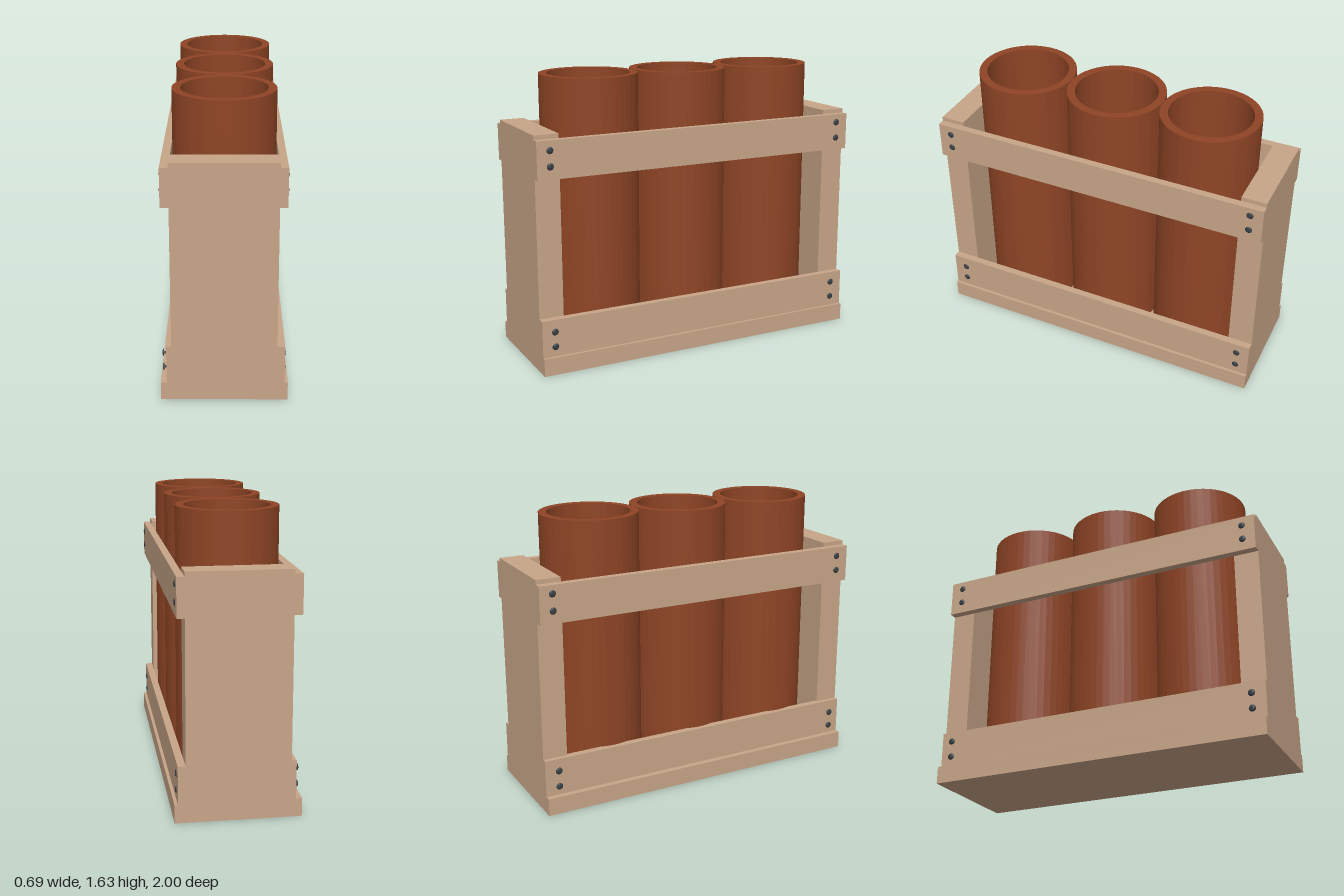
import * as THREE from 'three';

export function createModel() {
  const model = new THREE.Group();
  model.name = 'tubeRack';

  const wood = new THREE.MeshStandardMaterial({ color: 0xc8a588 });
  wood.name = 'pale wood';
  const clay = new THREE.MeshStandardMaterial({ color: 0x8f4525, flatShading: true });
  clay.name = 'red brown tube';
  const steel = new THREE.MeshStandardMaterial({ color: 0x3a4046, flatShading: true });
  steel.name = 'dark steel';

  // Box given by its lower and upper corners
  function board(name, [x0, y0, z0], [x1, y1, z1]) {
    const mesh = new THREE.Mesh(new THREE.BoxGeometry(x1 - x0, y1 - y0, z1 - z0), wood);
    mesh.position.set((x0 + x1) / 2, (y0 + y1) / 2, (z0 + z1) / 2);
    mesh.name = name;
    model.add(mesh);
  }

  // Wooden frame: base, two end boards, four side rails
  board('base', [-0.343, 0, -1], [0.343, 0.102, 1]);
  board('frontEndBoard', [-0.283, 0.102, 0.857], [0.283, 1.35, 1]);
  board('backEndBoard', [-0.283, 0.102, -1], [0.283, 1.35, -0.857]);
  board('leftLowerRail', [0.283, 0.102, -1], [0.325, 0.318, 1]);
  board('rightLowerRail', [-0.31, 0.102, -1], [-0.268, 0.318, 1]);
  board('leftUpperRail', [0.283, 1.11, -1], [0.325, 1.325, 1]);
  board('rightUpperRail', [-0.328, 1.11, -1], [-0.283, 1.325, 1]);

  // Three open tubes with closed bottoms
  const profile = [
    [0, 0.104], [0.281, 0.104], [0.281, 1.63], [0.235, 1.63], [0.235, 0.13], [0, 0.13],
  ].map(([r, y]) => new THREE.Vector2(r, y));
  const tubeGeometry = new THREE.LatheGeometry(profile, 44);
  for (const z of [-0.564, 0, 0.564]) {
    const tube = new THREE.Mesh(tubeGeometry, clay);
    tube.position.z = z;
    tube.name = 'tube';
    model.add(tube);
  }

  // Screws: domed head and thin shaft, turned to point outwards
  const headProfile = [
    [0.02, 0], [0.02, 0.002], [0.014, 0.006], [0.006, 0.008], [0.005, 0.005], [0, 0.005],
  ].map(([r, y]) => new THREE.Vector2(r, y));
  const headGeometry = new THREE.LatheGeometry([new THREE.Vector2(0, 0), ...headProfile], 12);
  const shaftGeometry = new THREE.CylinderGeometry(0.007, 0.007, 0.04, 8);
  for (const side of [1, -1]) {
    for (const z of [0.925, -0.925]) {
      const raise = z < 0 ? 0.007 : 0;
      for (const y of [0.16, 0.247 + raise, 1.182, 1.27 + raise]) {
        const screw = new THREE.Group();
        const head = new THREE.Mesh(headGeometry, steel);
        head.name = 'screwHead';
        const shaft = new THREE.Mesh(shaftGeometry, steel);
        shaft.position.y = -0.02;
        shaft.name = 'screwShaft';
        screw.add(head, shaft);
        screw.rotation.z = -side * Math.PI / 2;
        screw.position.set(side > 0 ? 0.324 : -0.327, y, z);
        screw.name = 'screw';
        model.add(screw);
      }
    }
  }
  return model;
}
